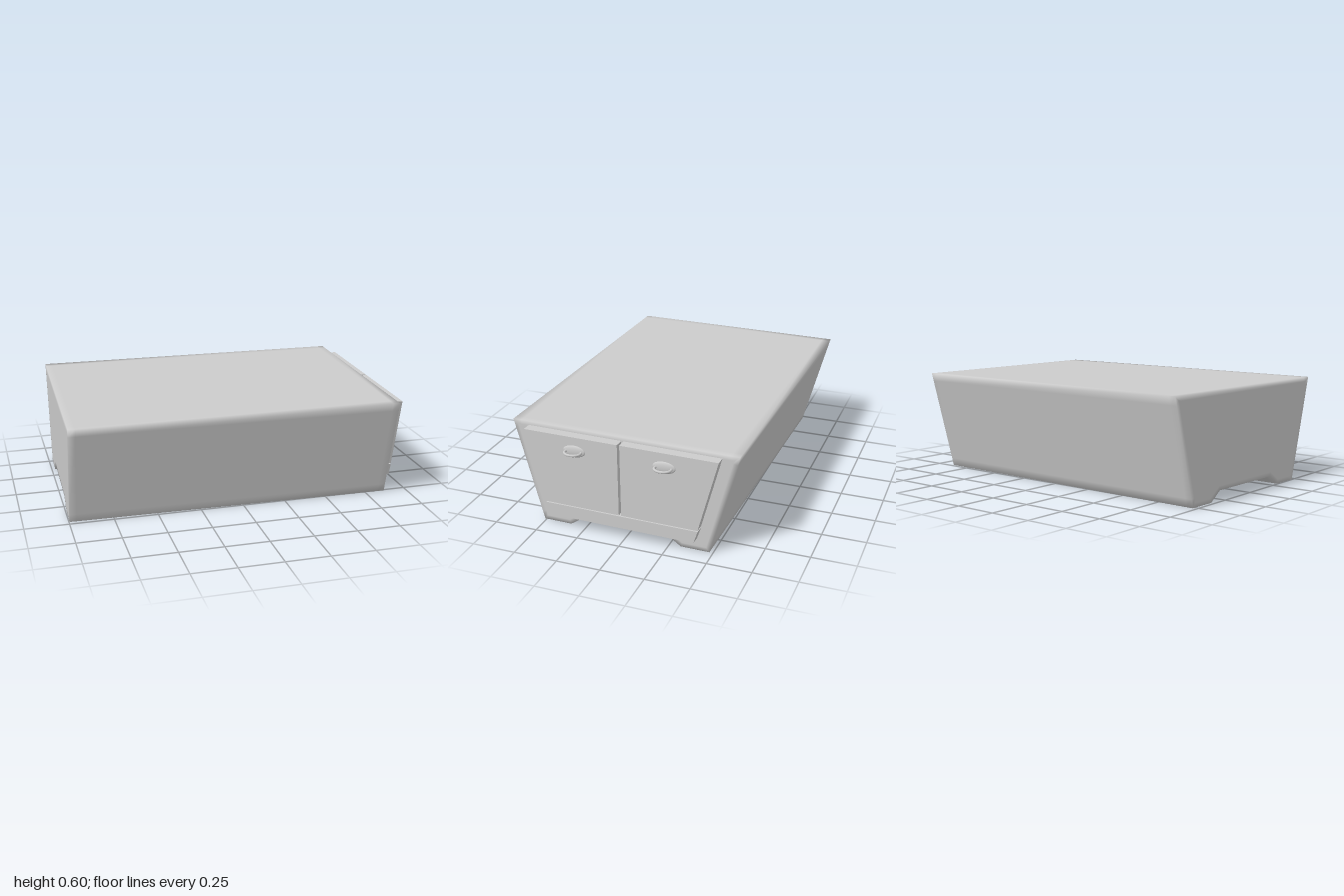
import * as THREE from 'three';
import { mergeVertices } from 'three/addons/utils/BufferGeometryUtils.js';

const HALF = 0.9325; // half length of the body
const material = new THREE.MeshStandardMaterial({ color: 0xcccccc });

function addMesh(parent, name, geometry) {
  const mesh = new THREE.Mesh(geometry, material);
  mesh.name = name;
  parent.add(mesh);
  return mesh;
}

const shapeFrom = (points) => new THREE.Shape(points.map(([u, y]) => new THREE.Vector2(u, y)));

// Tapered body with a raised underside; narrow bands beside the edges soften the shading
function bodyGeometry() {
  const half = [[0.25, 0.055], [0.33, 0], [0.445, 0], [0.495, 0], [0.508, 0.048],
    [0.642, 0.547], [0.655, 0.595], [0.605, 0.595]];
  const mirrored = half.map(([u, y]) => [-u, y]).reverse();
  const length = HALF * 2;
  const geometry = new THREE.ExtrudeGeometry(shapeFrom([...half, ...mirrored]), {
    depth: length, steps: 3, bevelEnabled: true, bevelSegments: 1,
    bevelThickness: 0.001, bevelSize: 0.025, bevelOffset: -0.025,
  });
  // Slide the two middle rings close to the ends
  const pos = geometry.attributes.position;
  for (let i = 0; i < pos.count; i++) {
    const z = pos.getZ(i);
    if (z > 0.1 && z < length / 2) pos.setZ(i, 0.04);
    else if (z > length / 2 && z < length - 0.1) pos.setZ(i, length - 0.04);
  }
  geometry.deleteAttribute('uv');
  geometry.deleteAttribute('normal');
  const smooth = mergeVertices(geometry, 1e-4);
  smooth.computeVertexNormals();
  return smooth.translate(0, 0, -HALF).rotateY(Math.PI / 2);
}

// Flat panel standing on the +x end
function panelGeometry(points) {
  return new THREE.ExtrudeGeometry(shapeFrom(points), { depth: 0.062, bevelEnabled: false })
    .translate(0, 0, HALF - 0.005).rotateY(Math.PI / 2);
}

// Oval plate with a horizontal loop grip
function createHandle() {
  const handle = new THREE.Group();
  const plate = addMesh(handle, 'handlePlate', new THREE.SphereGeometry(1, 32, 16));
  plate.scale.set(0.012, 0.034, 0.065);
  const path = new THREE.CatmullRomCurve3([
    [-0.005, -0.036], [0.014, -0.046], [0.034, -0.042], [0.05, -0.024], [0.055, 0],
    [0.05, 0.024], [0.034, 0.042], [0.014, 0.046], [-0.005, 0.036],
  ].map(([x, z]) => new THREE.Vector3(x, 0, z)));
  addMesh(handle, 'handleLoop', new THREE.TubeGeometry(path, 40, 0.007, 10));
  return handle;
}

export function createModel() {
  const model = new THREE.Group();
  model.name = 'cabinet';
  const cabinet = new THREE.Group();
  cabinet.name = 'cabinetAssembly';
  cabinet.position.set(-0.054, 0, -0.004);
  cabinet.rotation.y = -0.021;
  model.add(cabinet);

  addMesh(cabinet, 'body', bodyGeometry());

  // Two doors with handles
  for (const [side, s] of [['left', -1], ['right', 1]]) {
    const outline = [[0.007, 0.152], [0.447, 0.152], [0.56, 0.573], [0.007, 0.573]];
    addMesh(cabinet, `${side}Door`, panelGeometry(outline.map(([u, y]) => [u * s, y])));
    const handle = createHandle();
    handle.name = `${side}Handle`;
    handle.position.set(HALF + 0.057, 0.492, -0.26 * s);
    cabinet.add(handle);
  }

  // Kick board below the doors
  addMesh(cabinet, 'kickBoard',
    panelGeometry([[-0.424, 0.073], [0.424, 0.073], [0.448, 0.146], [-0.448, 0.146]]));

  return model;
}
